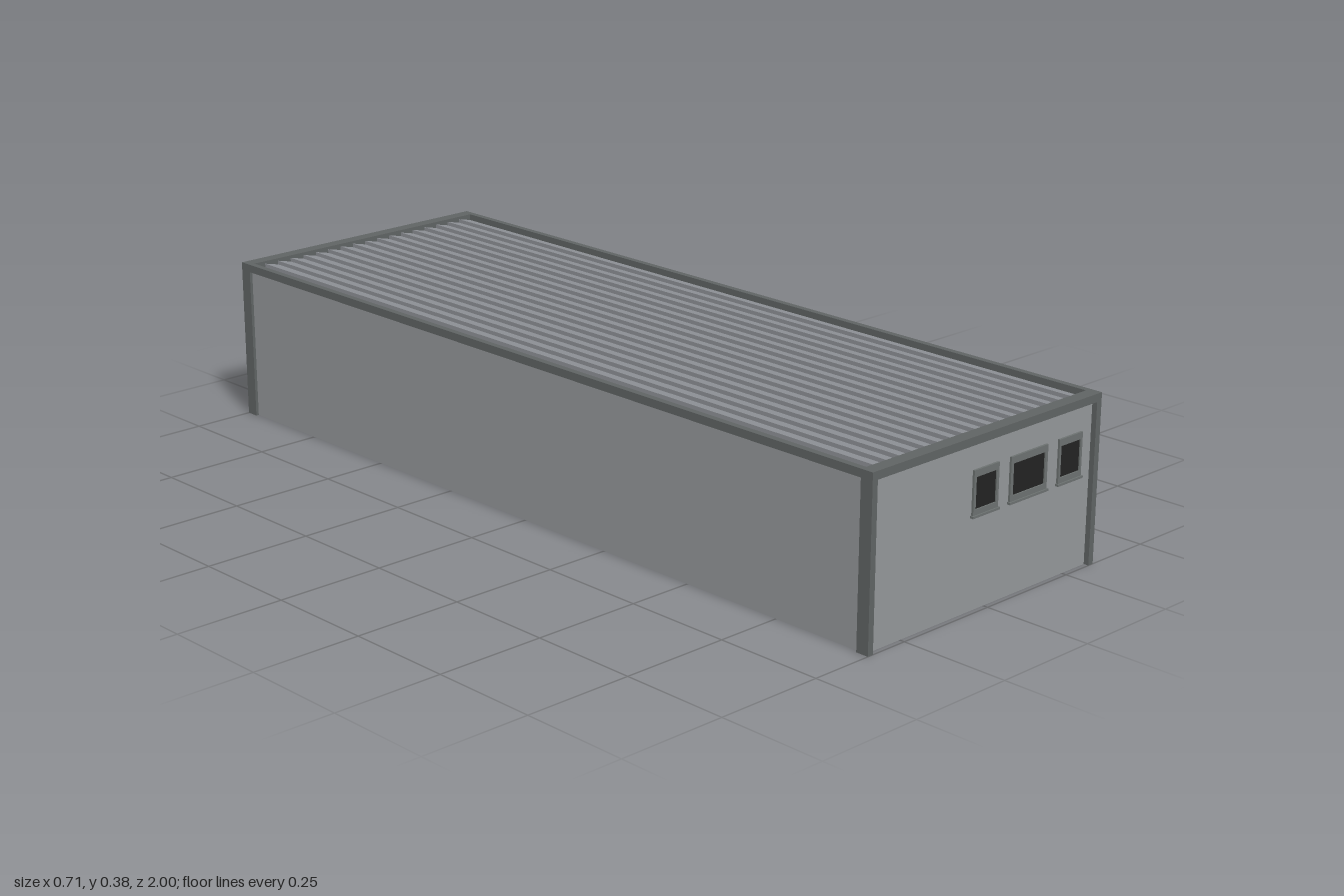
import * as THREE from 'three';

const mat = (name, color, side = THREE.FrontSide) => {
  const m = new THREE.MeshStandardMaterial({ color, side });
  m.name = name;
  return m;
};

export function createModel() {
  const model = new THREE.Group();
  model.name = 'warehouse';
  const wall = mat('wall grey', 0x939699, THREE.DoubleSide);
  const roofMat = mat('roof grey', 0x8e9196, THREE.DoubleSide);
  const trim = mat('trim dark grey', 0x5f6363);
  const frameMat = mat('frame grey', 0x6c7170);
  const darkFrame = mat('entrance frame charcoal', 0x3a3d3d);
  const black = mat('glass black', 0x222222);

  const add = (parent, name, geometry, material) => {
    const mesh = new THREE.Mesh(geometry, material);
    mesh.name = name;
    parent.add(mesh);
    return mesh;
  };
  // Box given by its limits on each axis
  const box = (parent, name, material, x0, x1, y0, y1, z0, z1) => {
    const m = add(parent, name, new THREE.BoxGeometry(x1 - x0, y1 - y0, z1 - z0), material);
    m.position.set((x0 + x1) / 2, (y0 + y1) / 2, (z0 + z1) / 2);
    return m;
  };
  // Group whose local xy plane is the outer face of a wall
  const face = (name, angle, x, z) => {
    const g = new THREE.Group();
    g.name = name;
    g.rotation.y = angle;
    g.position.set(x, 0, z);
    model.add(g);
    return g;
  };
  const outline = (x0, x1, y0, y1, c = 0) => [
    [x0 + c, y0], [x1 - c, y0], [x1, y0 + c], [x1, y1 - c],
    [x1 - c, y1], [x0 + c, y1], [x0, y1 - c], [x0, y0 + c],
  ].map(([x, y]) => new THREE.Vector2(x, y));
  // Rectangular frame round an opening, with optional cut corners
  const frame = (parent, name, material, outer, inner, depth, c = 0) => {
    const s = new THREE.Shape(outline(...outer, c));
    s.holes.push(new THREE.Path(outline(...inner, c)));
    return add(parent, name, new THREE.ExtrudeGeometry(s, { depth, bevelEnabled: false }), material);
  };

  const XL = -0.355, XR = 0.338, H = 0.375, T = 0.012;

  // End walls and the plain side wall
  const front = face('frontFace', 0, 0, 0.988);
  const back = face('backFace', Math.PI, 0, -0.988);
  box(front, 'frontWall', wall, -0.345, 0.326, 0, 0.36, -T, 0);
  box(back, 'backWall', wall, -0.326, 0.345, 0, 0.36, -T, 0);
  box(model, 'plainSideWall', wall, -0.348, -0.336, 0, 0.36, -0.985, 0.985);

  // Door side wall, with notches for the three loading doors (u = -z)
  const side = face('doorSideFace', Math.PI / 2, 0.327, 0);
  const doors = [[-0.93, -0.61], [0.055, 0.38], [0.5, 0.82]];
  const s = new THREE.Shape();
  s.moveTo(-0.985, 0);
  for (const [a, b] of doors) {
    s.lineTo(a, 0);
    s.lineTo(a, 0.2);
    s.lineTo(b, 0.2);
    s.lineTo(b, 0);
  }
  s.lineTo(0.985, 0);
  s.lineTo(0.985, 0.36);
  s.lineTo(-0.985, 0.36);
  add(side, 'doorSideWall', new THREE.ExtrudeGeometry(s, { depth: T, bevelEnabled: false }), wall)
    .position.z = -T;
  for (const [a, b] of doors) box(side, 'loadingDoor', wall, a, b, 0, 0.2, -T - 0.004, -T + 0.002);
  box(side, 'fascia', trim, -0.972, 0.972, 0.302, 0.358, 0, 0.005);

  // Corner posts and top rim
  for (const z of [-1, 0.97]) {
    box(model, 'cornerPost', trim, XL, XL + 0.0145, 0, H - 0.018, z, z + 0.03);
    box(model, 'cornerPost', trim, XR - 0.0145, XR, 0, H - 0.018, z, z + 0.03);
    box(model, 'endRim', trim, XL, XR, H - 0.018, H, z, z + 0.03);
  }
  box(model, 'sideRim', trim, XL, XL + 0.0145, H - 0.018, H, -0.97, 0.97);
  box(model, 'sideRim', trim, XR - 0.0145, XR, H - 0.018, H, -0.97, 0.97);

  // Stepped roof: each strip rises sharply, then slopes down toward +x
  const N = 18, x0 = -0.347, pitch = 0.0373;
  const top = [], under = [];
  for (let i = 0; i < N; i++) {
    const a = x0 + i * pitch;
    top.push(new THREE.Vector2(a, 0.369), new THREE.Vector2(a + pitch, 0.36));
    under.unshift(new THREE.Vector2(a + pitch, 0.355), new THREE.Vector2(a, 0.364));
  }
  const roof = add(model, 'steppedRoof', new THREE.ExtrudeGeometry(
    new THREE.Shape([...top, ...under]), { depth: 1.95, bevelEnabled: false }), roofMat);
  roof.position.z = -0.975;

  // End windows, the same on both ends
  const windows = [[-0.048, 0.028, 0.007], [0.065, 0.18, 0.008], [0.217, 0.291, 0.006]];
  const endWindow = (g, a, b, m) => {
    const w = new THREE.Group();
    w.name = 'endWindow';
    g.add(w);
    frame(w, 'windowFrame', frameMat, [a, b, 0.204, 0.3], [a + m, b - m, 0.217, 0.285], 0.005);
    box(w, 'windowGlass', black, a + m, b - m, 0.217, 0.285, -T - 0.002, 0.002);
    box(w, 'windowSill', frameMat, a - 0.003, b + 0.003, 0.2, 0.205, 0, 0.008);
  };
  for (const [a, b, m] of windows) {
    endWindow(front, a, b, m);
    endWindow(back, -b, -a, m);
  }

  // Back door
  frame(back, 'backDoorFrame', darkFrame, [0.254, 0.312, 0, 0.165], [0.26, 0.306, 0.004, 0.158], 0.006);
  box(back, 'backDoorLeaf', black, 0.26, 0.306, 0.004, 0.158, -T - 0.002, 0.002);
  box(back, 'backDoorHandle', frameMat, 0.265, 0.268, 0.06, 0.09, 0.002, 0.006);

  // Side window with cut corners
  frame(side, 'sideWindowFrame', frameMat, [-0.185, -0.065, 0.083, 0.25], [-0.166, -0.084, 0.091, 0.244], 0.006, 0.012);
  box(side, 'sideWindowGlass', black, -0.167, -0.083, 0.09, 0.245, -T - 0.002, 0.002);

  // Double entrance door and canopy
  frame(side, 'entranceFrame', darkFrame, [-0.545, -0.3, 0, 0.16], [-0.535, -0.31, 0.002, 0.142], 0.008);
  box(side, 'entranceBacking', darkFrame, -0.54, -0.305, 0, 0.15, -T - 0.002, 0.001);
  for (const a of [-0.531, -0.412]) {
    box(side, 'entranceLeaf', black, a, a + 0.098, 0.008, 0.135, 0, 0.004);
  }
  for (const u of [-0.428, -0.417]) box(side, 'entranceHandle', black, u - 0.002, u + 0.002, 0.03, 0.11, 0.004, 0.008);
  box(side, 'entranceLintel', trim, -0.545, -0.3, 0.15, 0.16, 0.008, 0.01);
  box(side, 'canopy', trim, -0.58, -0.25, 0.17, 0.178, 0, 0.026);

  return model;
}
